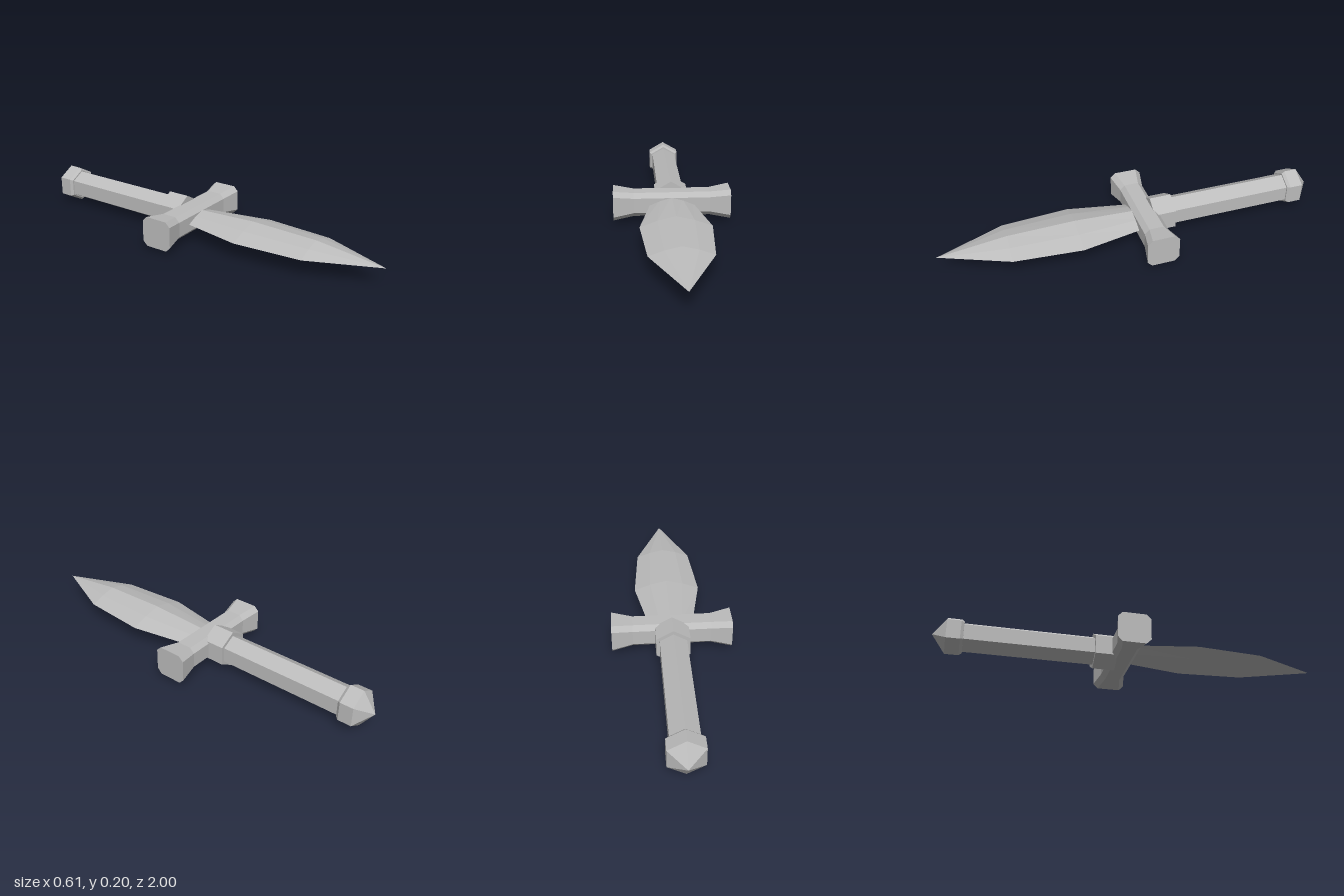
import * as THREE from 'three';

const steel = new THREE.MeshStandardMaterial({ color: 0xbcbcbc, flatShading: true });
steel.name = 'grey steel';

const AXIS_Y = 0.1; // height of the dagger's long axis

function addPart(group, name, geometry) {
  const flat = geometry.index ? geometry.toNonIndexed() : geometry;
  flat.computeVertexNormals();
  const mesh = new THREE.Mesh(flat, steel);
  mesh.name = name;
  group.add(mesh);
  return mesh;
}

// Skin counter-clockwise rings of [x, y] set at rising z, with both ends capped.
function loft(sections) {
  const rings = sections.map(({ z, ring }) => ring.map(([x, y]) => new THREE.Vector3(x, y, z)));
  const positions = [];
  const tri = (a, b, c) => {
    if (a.equals(b) || b.equals(c) || c.equals(a)) return;
    for (const p of [a, b, c]) positions.push(p.x, p.y, p.z);
  };
  const n = rings[0].length;
  const last = rings[rings.length - 1];
  const startCentre = new THREE.Vector3(0, 0, sections[0].z);
  const endCentre = new THREE.Vector3(0, 0, sections[sections.length - 1].z);
  for (let j = 0; j < n; j++) {
    const k = (j + 1) % n;
    for (let i = 0; i < rings.length - 1; i++) {
      tri(rings[i][j], rings[i][k], rings[i + 1][k]);
      tri(rings[i][j], rings[i + 1][k], rings[i + 1][j]);
    }
    tri(startCentre, rings[0][k], rings[0][j]);
    tri(endCentre, last[j], last[k]);
  }
  const geometry = new THREE.BufferGeometry();
  geometry.setAttribute('position', new THREE.Float32BufferAttribute(positions, 3));
  return geometry;
}

// Six-sided turned part; profile is [radius, distance towards the back].
function hexPart(profile) {
  const points = profile.map(([r, d]) => new THREE.Vector2(r, d));
  return new THREE.LatheGeometry(points, 6).rotateX(-Math.PI / 2);
}

// Lens section with sharp edges, a central ridge and a facet line between.
function bladeRing(w, h) {
  const mx = w * 0.51, my = h * 0.6;
  return [[w, 0], [mx, my], [0, h], [-mx, my], [-w, 0], [-mx, -my], [0, -h], [mx, -my]];
}

// Rectangle with cut corners.
function guardRing(w, h, c = 0.024) {
  return [[w, -h + c], [w, h - c], [w - c, h], [-w + c, h],
    [-w, h - c], [-w, -h + c], [-w + c, -h], [w - c, -h]];
}

export function createModel() {
  const dagger = new THREE.Group();
  dagger.name = 'dagger';

  // Leaf-shaped blade pointing forward
  addPart(dagger, 'blade', loft([
    { z: -0.03, ring: bladeRing(0.109, 0.039) },
    { z: 0.31, ring: bladeRing(0.175, 0.053) },
    { z: 0.655, ring: bladeRing(0.148, 0.044) },
    { z: 1, ring: bladeRing(0, 0) },
  ]));

  // Crossguard with flared ends
  const guard = addPart(dagger, 'crossguard', loft([
    { z: -0.304, ring: guardRing(0.083, 0.078) },
    { z: -0.198, ring: guardRing(0.062, 0.063) },
    { z: 0.198, ring: guardRing(0.062, 0.063) },
    { z: 0.304, ring: guardRing(0.083, 0.078) },
  ]).rotateY(Math.PI / 2));
  guard.position.z = -0.057;

  // Hexagonal handle
  addPart(dagger, 'collar', hexPart([[0, 0.09], [0.098, 0.09], [0.098, 0.204], [0, 0.204]]));
  addPart(dagger, 'grip', hexPart([[0.078, 0.19], [0.078, 0.87]]));
  addPart(dagger, 'pommel', hexPart([[0, 0.85], [0.086, 0.85], [0.098, 0.864], [0.098, 0.932], [0, 1]]));

  for (const part of dagger.children) part.position.y = AXIS_Y;
  return dagger;
}
